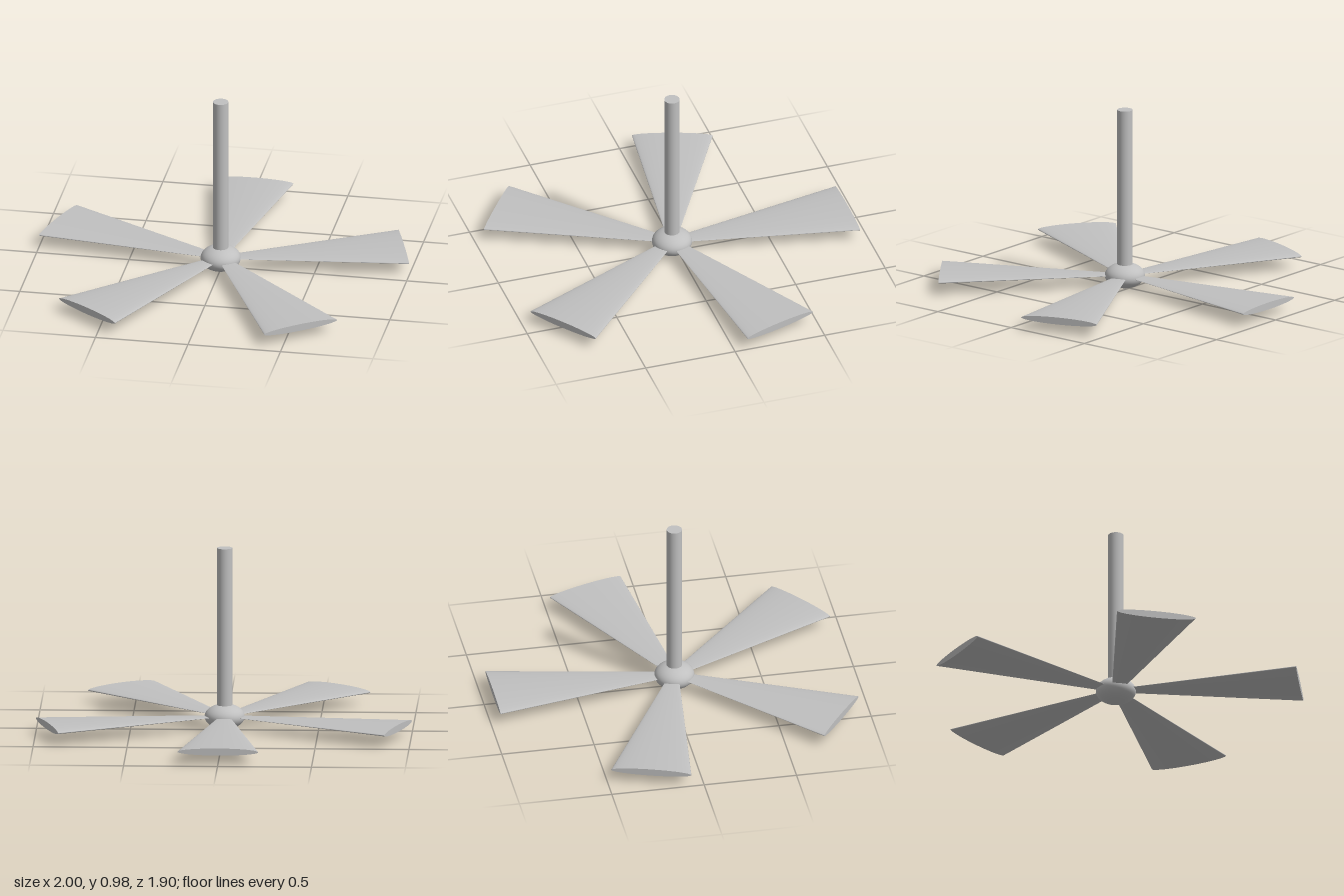
import * as THREE from 'three';

const HUB_Y = 0.067;
const HUB_Z = 0.03;
const BLADES = 5;

// Squashed cone that flares from the hub centre out to an oval tip, pointing to -z
function bladeGeometry(reach, rootHalfWidth, tipHalfWidth, thickness) {
  const g = new THREE.CylinderGeometry(tipHalfWidth, rootHalfWidth, reach, 48);
  g.scale(1, 1, thickness);
  g.translate(0, reach / 2, 0);
  g.rotateX(-Math.PI / 2);
  return g;
}

export function createModel() {
  const model = new THREE.Group();
  model.name = 'ceilingFan';
  const grey = new THREE.MeshStandardMaterial({ color: 0xc0c0c0 });
  grey.name = 'grey';

  const add = (name, geometry, y) => {
    const mesh = new THREE.Mesh(geometry, grey);
    mesh.name = name;
    mesh.position.set(0, y, HUB_Z);
    model.add(mesh);
    return mesh;
  };

  // Flattened round hub
  const hub = new THREE.SphereGeometry(0.107, 48, 24);
  hub.scale(1, 0.067 / 0.107, 1);
  add('hub', hub, HUB_Y);

  // Hanging rod
  const rodTop = 0.98;
  const rodLength = rodTop - HUB_Y;
  add('rod', new THREE.CylinderGeometry(0.041, 0.041, rodLength, 32), HUB_Y + rodLength / 2);

  // Five blades around the hub
  const blade = bladeGeometry(0.982, 0.022, 0.215, 0.09);
  for (let i = 0; i < BLADES; i++) {
    add('blade' + (i + 1), blade, HUB_Y + 0.002).rotation.y = (i * 2 * Math.PI) / BLADES;
  }

  return model;
}
